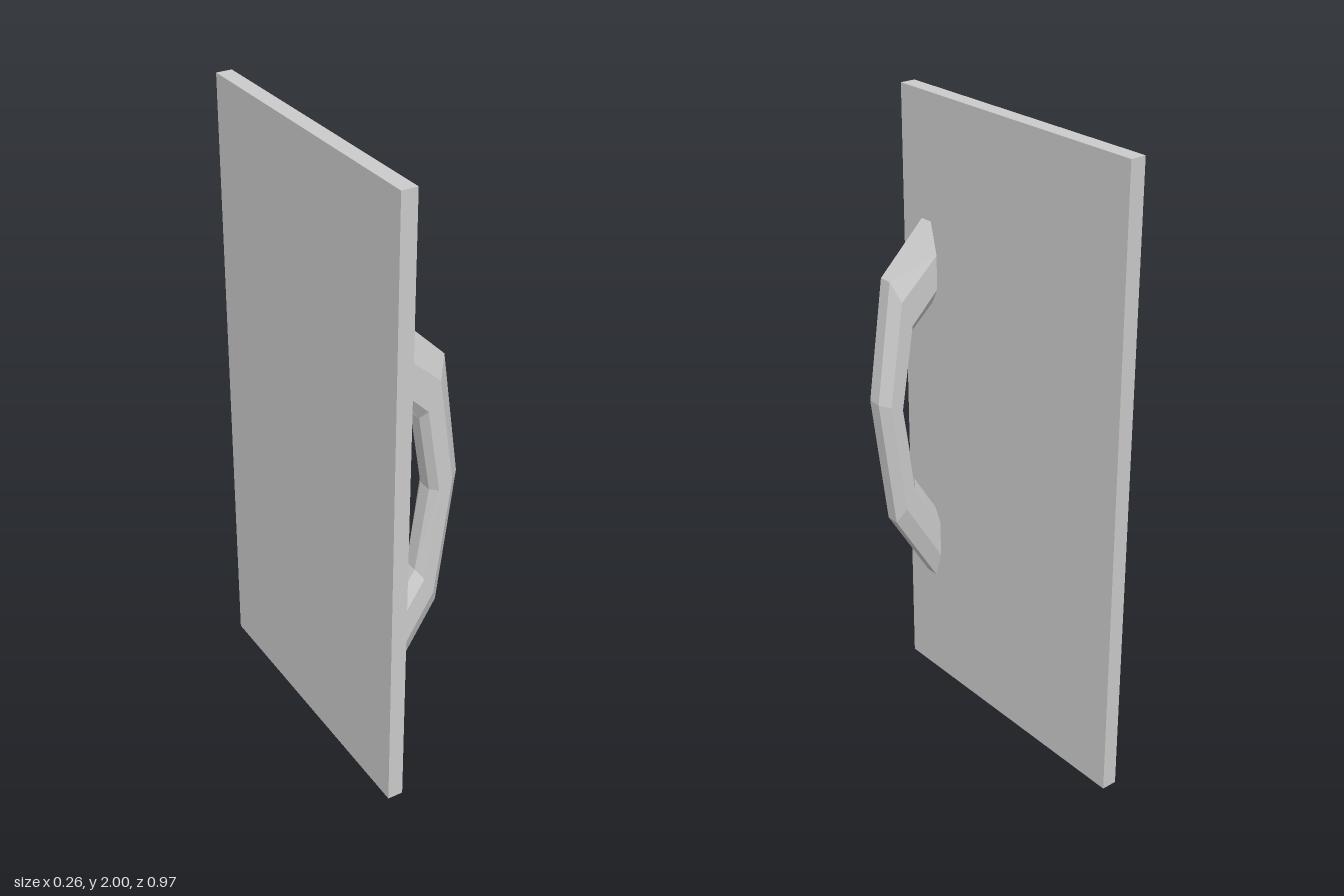
import * as THREE from 'three';

const material = new THREE.MeshStandardMaterial({ color: 0xcccccc, flatShading: true });

// Each station runs outer edge, outer side, inner side, inner edge as [x, y].
const stations = [
  [[-0.083, 1.61], [-0.083, 1.51], [-0.083, 1.40], [-0.083, 1.35]],
  [[0.075, 1.455], [0.05, 1.39], [0.013, 1.305], [0.0, 1.275]],
  [[0.13, 1.065], [0.1, 1.055], [0.057, 1.035], [0.04, 1.03]],
  [[0.075, 0.63], [0.05, 0.68], [0.018, 0.74], [0.0, 0.765]],
  [[-0.083, 0.37], [-0.083, 0.46], [-0.083, 0.58], [-0.083, 0.63]],
];

// Octagonal bar swept through the stations
function handleGeometry() {
  const zMid = 0.373;
  const halfWidths = [0.022, 0.048, 0.048, 0.022];
  const rings = stations.map((profile) => {
    const near = profile.map(([x, y], k) => [x, y, zMid + halfWidths[k]]);
    const far = profile.map(([x, y], k) => [x, y, zMid - halfWidths[k]]).reverse();
    return [...near, ...far];
  });
  const positions = [];
  for (let i = 0; i < rings.length - 1; i++) {
    const a = rings[i], b = rings[i + 1];
    for (let j = 0; j < a.length; j++) {
      const k = (j + 1) % a.length;
      positions.push(...a[j], ...a[k], ...b[k], ...a[j], ...b[k], ...b[j]);
    }
  }
  const geometry = new THREE.BufferGeometry();
  geometry.setAttribute('position', new THREE.Float32BufferAttribute(positions, 3));
  geometry.computeVertexNormals();
  return geometry;
}

export function createModel() {
  const group = new THREE.Group();
  group.name = 'door';

  // Flat door panel
  const panel = new THREE.Mesh(new THREE.BoxGeometry(0.05, 2, 0.97), material);
  panel.name = 'panel';
  panel.position.set(-0.107, 1, 0);
  group.add(panel);

  // Bowed pull handle, its open ends flush with the panel
  const handle = new THREE.Mesh(handleGeometry(), material);
  handle.name = 'pullHandle';
  group.add(handle);

  return group;
}
